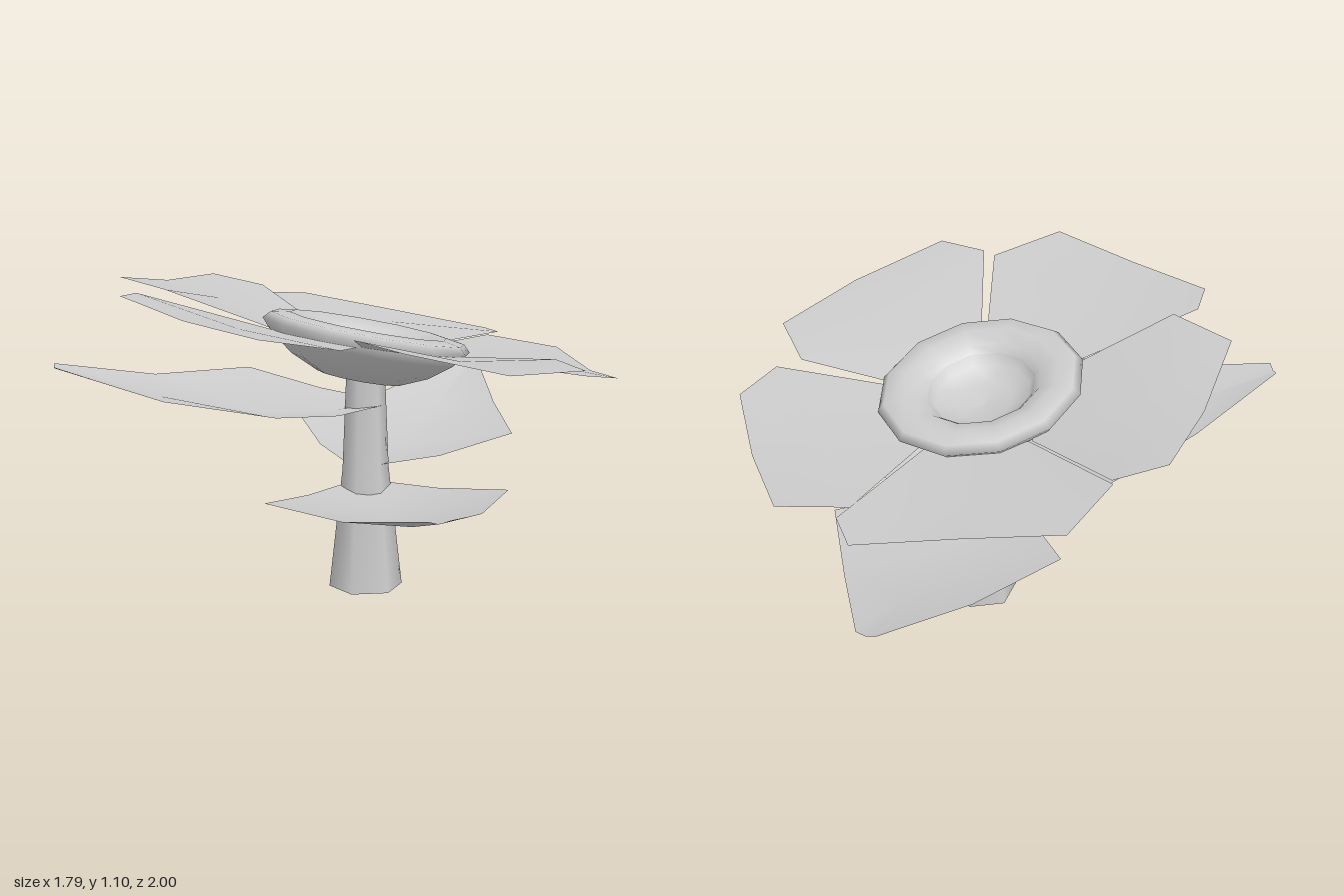
import * as THREE from 'three';

const CX = 0.035, CZ = 0.09; // stem axis

function sheet(points, index) {
  const g = new THREE.BufferGeometry();
  g.setAttribute('position', new THREE.Float32BufferAttribute(points.flat(), 3));
  g.setIndex(index);
  g.computeVertexNormals();
  return g;
}

// Cupped leaf: rows of [distance, half width, midrib height, edge height]
function leafGeometry() {
  const rows = [
    [-0.05, 0.05, 0.01, 0.02], [0.13, 0.23, 0, 0.03], [0.37, 0.42, 0, 0.075],
    [0.73, 0.23, 0.07, 0.1], [1.09, 0.035, 0.18, 0.19],
  ];
  const pts = [], idx = [];
  rows.forEach(([d, w, mid, edge], r) => {
    pts.push([-w, edge, d], [0, mid, d], [w, edge, d]);
    if (r === 0) return;
    for (let k = 0; k < 2; k++) {
      const a = (r - 1) * 3 + k, b = a + 3;
      idx.push(a, b, a + 1, a + 1, b, b + 1);
    }
  });
  return sheet(pts, idx);
}

// Petal: fan around a slightly sunken centre; the outline starts and ends at the head
function petalGeometry(outline) {
  const n = outline.length;
  const c = [0, 1, 2].map(i => outline.reduce((s, p) => s + p[i], 0) / n);
  c[1] -= 0.012;
  const idx = [];
  for (let i = 0; i < n; i++) idx.push(0, (i + 1) % n + 1, i + 1);
  return sheet([c, ...outline], idx);
}

export function createModel() {
  const model = new THREE.Group();
  const grey = new THREE.MeshStandardMaterial({ color: 0xcccccc, side: THREE.DoubleSide });
  grey.name = 'light grey';
  const add = (name, geometry, parent = model) => {
    const mesh = new THREE.Mesh(geometry, grey);
    mesh.name = name;
    parent.add(mesh);
    return mesh;
  };
  const lathe = (pts, sides) =>
    new THREE.LatheGeometry(pts.map(([x, y]) => new THREE.Vector2(x, y)), sides);

  // Tapered six-sided stem, open at the foot
  add('stem', lathe([[0.13, 0], [0.082, 0.43], [0.067, 0.8]], 6)).position.set(CX, 0, CZ);

  // Tilted flower head: rounded bowl and ring, with a sunken dish
  const head = new THREE.Group();
  head.name = 'flowerHead';
  head.position.set(CX, 0.9, 0.08);
  head.quaternion.setFromUnitVectors(
    new THREE.Vector3(0, 1, 0), new THREE.Vector3(0.13, 1, -0.17).normalize());
  model.add(head);
  add('ring', lathe([[0, -0.15], [0.15, -0.145], [0.25, -0.1], [0.33, -0.04], [0.37, 0.005],
    [0.345, 0.03], [0.28, 0.04], [0.22, 0.02], [0.195, -0.005]], 12), head);
  add('dish', lathe([[0.195, -0.005], [0.17, -0.04], [0.1, -0.07], [0, -0.08]], 12), head);

  // Five petals around the head
  const petals = {
    frontRightPetal: [[-0.21, 0.93, 0.26], [-0.61, 1.085, 0.55], [-0.6, 1.095, 0.68],
      [-0.28, 1.06, 0.84], [0.05, 1.05, 0.985], [0.25, 1.0, 0.81], [0.12, 0.92, 0.37]],
    frontLeftPetal: [[0.14, 0.92, 0.37], [0.28, 1.03, 0.78], [0.47, 1.01, 0.83],
      [0.73, 0.915, 0.59], [0.88, 0.88, 0.26], [0.72, 0.87, 0.07], [0.34, 0.85, 0.068]],
    backLeftPetal: [[0.34, 0.845, 0.06], [0.82, 0.82, 0.067], [0.89, 0.785, -0.1],
      [0.71, 0.745, -0.38], [0.5, 0.765, -0.65], [0.24, 0.8, -0.61], [0.14, 0.82, -0.22]],
    backPetal: [[0.12, 0.82, -0.22], [0.26, 0.8, -0.68], [0.17, 0.79, -0.79],
      [-0.18, 0.85, -0.71], [-0.52, 0.905, -0.64], [-0.59, 0.945, -0.38], [-0.22, 0.87, -0.14]],
    rightPetal: [[-0.23, 0.875, -0.14], [-0.59, 0.97, -0.395], [-0.755, 1.015, -0.31],
      [-0.785, 1.035, 0], [-0.78, 1.1, 0.36], [-0.54, 1.09, 0.48], [-0.22, 0.93, 0.25]],
  };
  for (const [name, outline] of Object.entries(petals)) add(name, petalGeometry(outline));

  // Three leaves spiralling up the stem: name, height, heading (x, z), length
  const leaf = leafGeometry();
  for (const [name, y, x, z, length] of [
    ['frontLeaf', 0.348, 0.61, 0.89, 0.985],
    ['backLeaf', 0.435, -0.01, -1.09, 1],
    ['rightLeaf', 0.645, -0.92, 0.57, 0.985],
  ]) {
    const mesh = add(name, leaf);
    mesh.position.set(CX, y, CZ);
    mesh.rotation.y = Math.atan2(x, z);
    mesh.scale.z = length;
  }
  return model;
}
